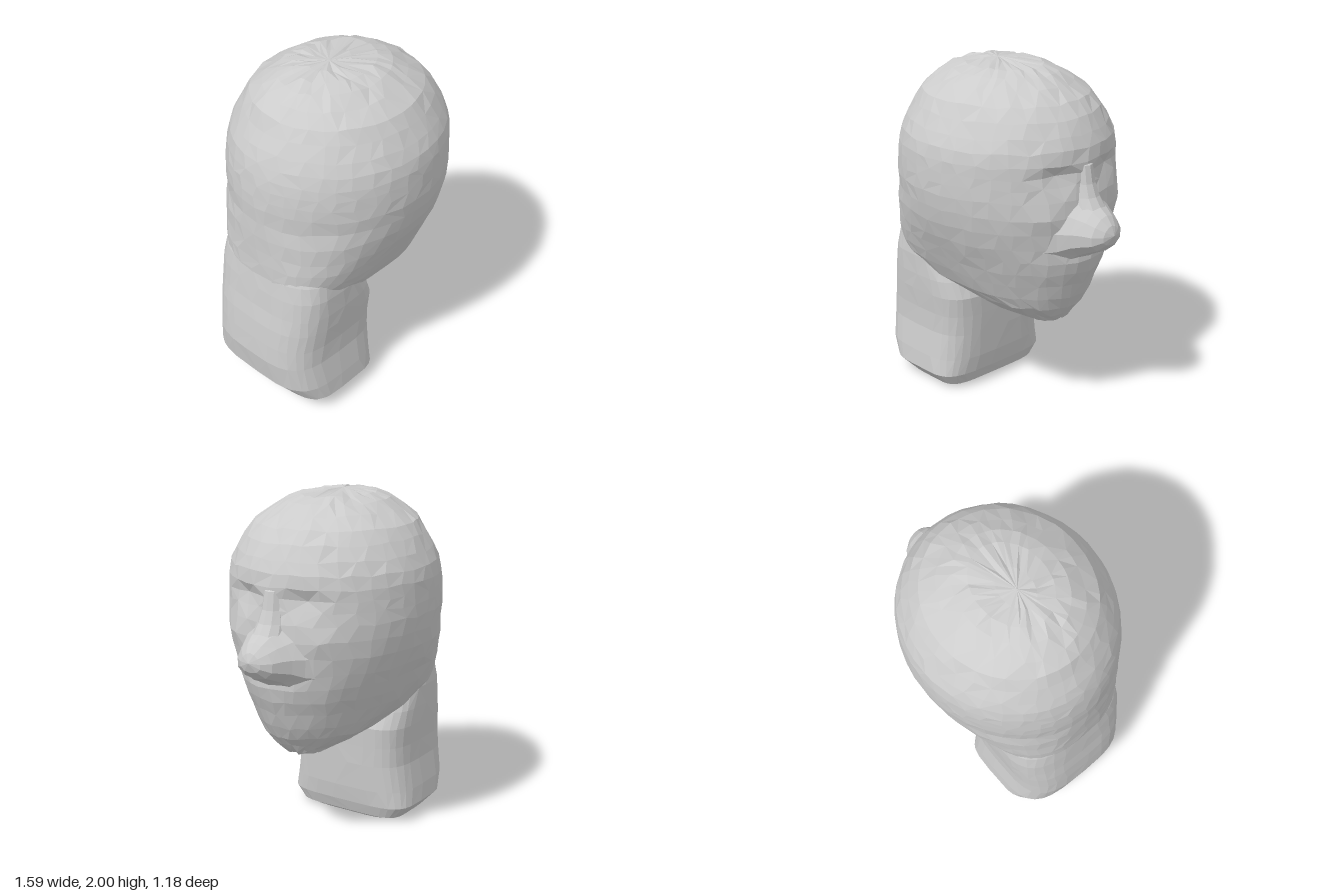
import * as THREE from 'three';

const material = new THREE.MeshStandardMaterial({ color: 0xcccccc, flatShading: true });

// Small seeded generator, -1 to 1, for uneven hand-sculpted facets
let seed = 7;
function jitter() {
  seed = (seed * 16807) % 2147483647;
  return (seed / 2147483647) * 2 - 1;
}

// Skin a list of equal-length rings and close both ends with a fan
function skin(rings, startTip, endTip) {
  const n = rings[0].length, pos = [], idx = [];
  for (const ring of rings) for (const p of ring) pos.push(...p);
  for (let r = 0; r < rings.length - 1; r++) {
    for (let i = 0; i < n; i++) {
      const j = (i + 1) % n, a = r * n + i, b = r * n + j;
      // Alternate the diagonals for an irregular, sculpted look
      if ((r + i) % 2) idx.push(a, b, b + n, a, b + n, a + n);
      else idx.push(a, b, a + n, b, b + n, a + n);
    }
  }
  const s = pos.length / 3, last = (rings.length - 1) * n;
  pos.push(...startTip, ...endTip);
  for (let i = 0; i < n; i++) {
    const j = (i + 1) % n;
    idx.push(s, j, i, s + 1, last + i, last + j);
  }
  const g = new THREE.BufferGeometry();
  g.setAttribute('position', new THREE.Float32BufferAttribute(pos, 3));
  g.setIndex(idx);
  g.computeVertexNormals();
  return g;
}

const power = (v, e) => Math.sign(v) * Math.pow(Math.abs(v), 2 / e);

// Horizontal ring: height, back x, front x, half width, squareness of back and front
function levelRing([y, x0, x1, hz, back = 2, front = back], n, rough = 0) {
  return Array.from({ length: n }, (_, i) => {
    const t = (i / n) * Math.PI * 2 + jitter() * rough;
    const c = Math.cos(t), e = c < 0 ? back : front;
    return [(x0 + x1) / 2 + ((x1 - x0) / 2) * power(c, e), y, -hz * power(Math.sin(t), e)];
  });
}

// Ring across the nose: x, centre y, half height, half width; narrower towards the top
function noseRing([x, y, ry, hz], n) {
  return Array.from({ length: n }, (_, i) => {
    const t = (i / n) * Math.PI * 2, c = Math.cos(t);
    return [x, y + ry * c, hz * Math.sin(t) * (1 - 0.25 * c)];
  });
}

const bump = (d, w) => Math.exp(-(d * d) / (w * w));

// Press in the eye sockets, push out cheeks and lips
function face([x, y, z]) {
  if (x > 0.2) {
    const a = Math.abs(z);
    x -= 0.045 * bump(y - 1.475, 0.055) * bump(a - 0.17, 0.11);
    x += 0.025 * bump(y - 1.27, 0.08) * bump(a - 0.28, 0.1);
    x += 0.02 * bump(y - 0.98, 0.1) * bump(a, 0.2);
  }
  return [x, y + jitter() * 0.008, z];
}

export function createModel() {
  const model = new THREE.Group();
  const add = (name, geometry) => {
    const mesh = new THREE.Mesh(geometry, material);
    mesh.name = name;
    model.add(mesh);
  };

  // Head, from chin to crown; the nape is squarer so that it flows into the neck
  const headSections = [
    [0.56, 0.16, 0.39, 0.11], [0.585, -0.04, 0.42, 0.16], [0.62, -0.16, 0.45, 0.22],
    [0.68, -0.32, 0.49, 0.305, 2.3, 2], [0.75, -0.6, 0.53, 0.37, 2.8, 2], [0.84, -0.72, 0.56, 0.42, 3, 2],
    [0.92, -0.72, 0.585, 0.455, 2.9, 2], [1.0, -0.718, 0.6, 0.49, 2.7, 2], [1.08, -0.715, 0.605, 0.525, 2.4, 2],
    [1.18, -0.715, 0.61, 0.56, 2.2, 2], [1.27, -0.71, 0.61, 0.58], [1.36, -0.71, 0.605, 0.592],
    [1.43, -0.705, 0.6, 0.592], [1.49, -0.697, 0.597, 0.59], [1.55, -0.685, 0.594, 0.587],
    [1.62, -0.665, 0.58, 0.572], [1.69, -0.635, 0.55, 0.54], [1.77, -0.59, 0.505, 0.495],
    [1.84, -0.55, 0.44, 0.45], [1.9, -0.49, 0.35, 0.36], [1.95, -0.41, 0.265, 0.28],
    [1.98, -0.33, 0.18, 0.2], [1.995, -0.24, 0.02, 0.09],
  ];
  const headRings = headSections.map((s) => levelRing(s, 40, 0.045).map(face));
  add('head', skin(headRings, [0.28, 0.55, 0], [-0.12, 2, 0]));

  // Square-cornered neck, flaring at the foot and sinking into the skull
  const neckSections = [
    [0.005, -0.5, -0.18, 0.27, 5], [0.03, -0.58, -0.14, 0.35, 5], [0.1, -0.69, -0.115, 0.41, 4.5],
    [0.2, -0.775, -0.1, 0.4, 3.6, 4], [0.36, -0.797, -0.09, 0.375, 3.4, 4], [0.48, -0.785, -0.085, 0.375, 3.4, 4],
    [0.6, -0.77, -0.08, 0.385, 3.3, 4], [0.7, -0.75, -0.12, 0.39, 3.2, 4], [0.82, -0.733, -0.16, 0.392, 3],
    [0.92, -0.717, -0.2, 0.38, 2.7], [1.02, -0.69, -0.25, 0.34, 2.4],
  ];
  add('neck', skin(neckSections.map((s) => levelRing(s, 32, 0.03)), [-0.36, 0.03, 0], [-0.45, 1.05, 0]));

  // Broad pointed nose
  const noseSections = [
    [0.5, 1.18, 0.23, 0.28], [0.57, 1.18, 0.2, 0.215], [0.63, 1.185, 0.155, 0.175],
    [0.68, 1.185, 0.13, 0.145], [0.73, 1.18, 0.1, 0.115], [0.77, 1.178, 0.055, 0.065],
  ];
  add('nose', skin(noseSections.map((s) => noseRing(s, 12)), [0.5, 1.19, 0], [0.79, 1.18, 0]));

  // Ridge running from the brow onto the nose
  const bridgeSections = [
    [1.2, 0.46, 0.735, 0.11], [1.29, 0.46, 0.7, 0.1], [1.36, 0.46, 0.65, 0.085],
    [1.43, 0.46, 0.622, 0.07], [1.53, 0.46, 0.603, 0.06],
  ];
  add('noseBridge', skin(bridgeSections.map((s) => levelRing(s, 12)), [0.6, 1.2, 0], [0.54, 1.57, 0]));

  return model;
}
